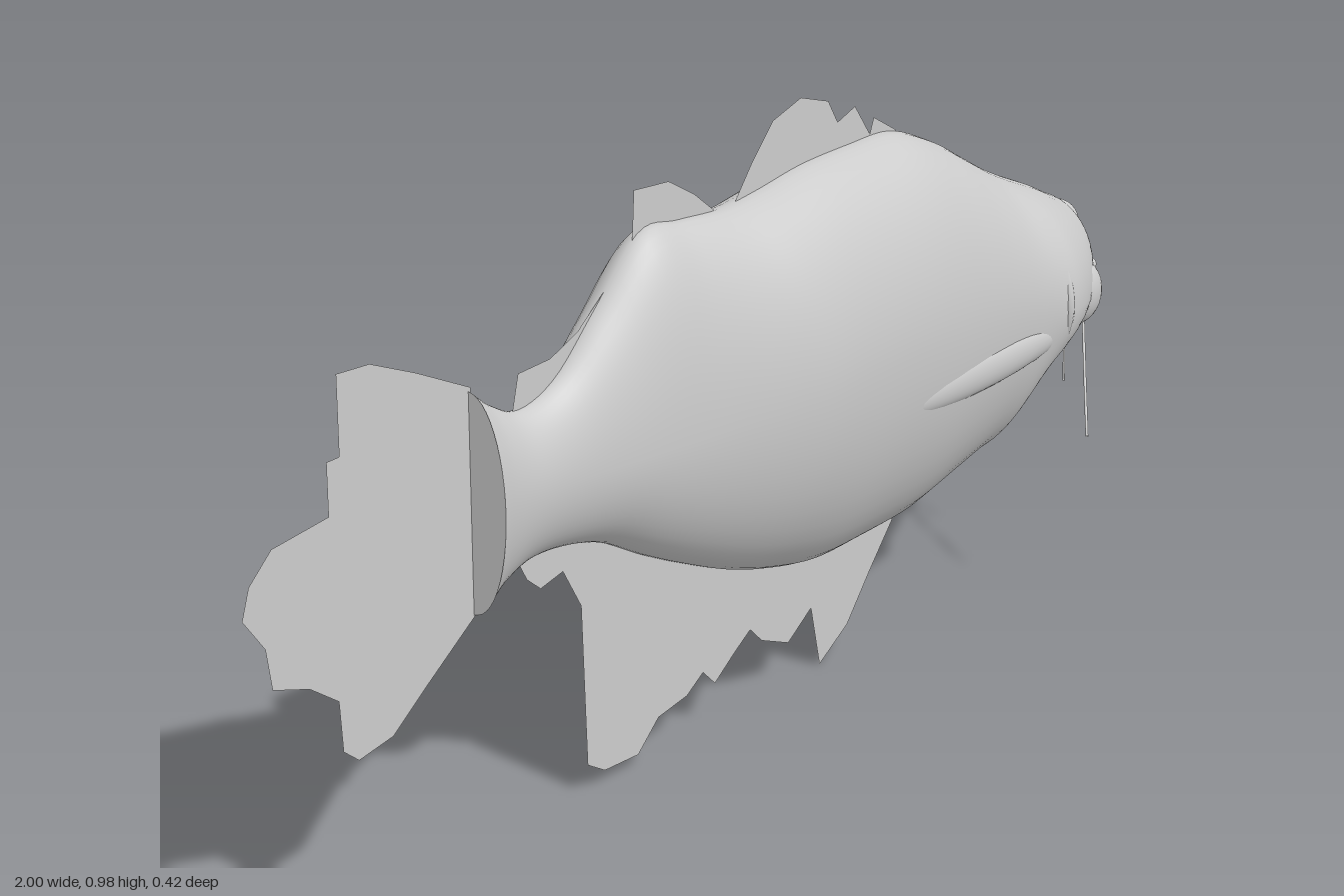
import * as THREE from 'three';

const grey = new THREE.MeshStandardMaterial({ color: 0xcccccc, side: THREE.DoubleSide });
grey.name = 'pale grey';

// Body stations from tail to snout: x, top y, bottom y, widest y, half width
const stations = [
  [-0.545, 0.745, 0.40, 0.575, 0.066],
  [-0.50, 0.71, 0.43, 0.575, 0.058],
  [-0.44, 0.685, 0.45, 0.57, 0.057],
  [-0.36, 0.71, 0.445, 0.57, 0.062],
  [-0.27, 0.79, 0.42, 0.57, 0.08],
  [-0.17, 0.88, 0.365, 0.57, 0.098],
  [-0.08, 0.875, 0.32, 0.57, 0.113],
  [0.02, 0.866, 0.275, 0.57, 0.136],
  [0.11, 0.872, 0.245, 0.575, 0.155],
  [0.22, 0.885, 0.22, 0.58, 0.16],
  [0.34, 0.887, 0.218, 0.58, 0.162],
  [0.45, 0.883, 0.222, 0.57, 0.161],
  [0.55, 0.845, 0.243, 0.56, 0.157],
  [0.63, 0.80, 0.262, 0.55, 0.154],
  [0.69, 0.765, 0.278, 0.54, 0.155],
  [0.74, 0.74, 0.355, 0.53, 0.166],
  [0.78, 0.722, 0.39, 0.53, 0.165],
  [0.83, 0.70, 0.415, 0.53, 0.148],
  [0.88, 0.675, 0.43, 0.535, 0.122],
  [0.93, 0.65, 0.445, 0.54, 0.088],
  [0.97, 0.615, 0.475, 0.545, 0.055],
  [0.99, 0.59, 0.51, 0.55, 0.03],
  [1.0, 0.56, 0.545, 0.553, 0.004],
];

function add(group, name, geometry) {
  const mesh = new THREE.Mesh(geometry, grey);
  mesh.name = name;
  group.add(mesh);
  return mesh;
}

// Smooth skin swept through the stations
function bodyGeometry(steps = 120, sides = 48) {
  const edges = new THREE.CatmullRomCurve3(stations.map(s => new THREE.Vector3(s[0], s[1], s[2])), false, 'catmullrom');
  const middle = new THREE.CatmullRomCurve3(stations.map(s => new THREE.Vector3(s[0], s[3], s[4])), false, 'catmullrom');
  const pos = [], index = [];
  for (let i = 0; i <= steps; i++) {
    const e = edges.getPoint(i / steps), m = middle.getPoint(i / steps);
    for (let j = 0; j < sides; j++) {
      const a = (j / sides) * Math.PI * 2, c = Math.cos(a), s = Math.sin(a);
      const y = m.y + c * (c > 0 ? e.y - m.y : m.y - e.z);
      pos.push(e.x, y, m.z * Math.sign(s) * Math.pow(Math.abs(s), 1.12));
      if (i < steps) {
        const k = i * sides + j, n = i * sides + (j + 1) % sides;
        index.push(k, n, k + sides, n, n + sides, k + sides);
      }
    }
  }
  const g = new THREE.BufferGeometry();
  g.setAttribute('position', new THREE.Float32BufferAttribute(pos, 3));
  g.setIndex(index);
  g.computeVertexNormals();
  return g;
}

// Flat fins in the plane z = 0
const fins = {
  tailFin: [[-0.54, 0.75], [-0.65, 0.805], [-0.74, 0.845], [-0.805, 0.85], [-0.805, 0.73], [-0.83, 0.73],
    [-0.83, 0.65], [-0.94, 0.64], [-0.985, 0.60], [-1, 0.555], [-0.96, 0.5], [-0.95, 0.435], [-0.88, 0.41],
    [-0.825, 0.37], [-0.82, 0.29], [-0.79, 0.265], [-0.72, 0.275], [-0.65, 0.325], [-0.54, 0.40]],
  frontDorsalFin: [[0.04, 0.84], [0.06, 0.87], [0.10, 0.92], [0.15, 0.972], [0.22, 0.992], [0.29, 0.97],
    [0.315, 0.93], [0.36, 0.945], [0.40, 0.89], [0.41, 0.915], [0.47, 0.88], [0.45, 0.84]],
  rearDorsalFin: [[-0.20, 0.82], [-0.185, 0.86], [-0.18, 0.947], [-0.10, 0.94], [-0.04, 0.905], [0.01, 0.865], [0, 0.82]],
  smallBackFin: [[-0.46, 0.66], [-0.44, 0.74], [-0.37, 0.742], [-0.31, 0.765], [-0.25, 0.81], [-0.24, 0.74], [-0.34, 0.66]],
  analFin: [[-0.46, 0.47], [-0.43, 0.415], [-0.40, 0.39], [-0.35, 0.40], [-0.31, 0.33], [-0.30, 0.06],
    [-0.26, 0.035], [-0.18, 0.03], [-0.13, 0.075], [-0.06, 0.085], [-0.02, 0.11], [0.01, 0.08], [0.06, 0.115],
    [0.10, 0.14], [0.13, 0.11], [0.20, 0.08], [0.26, 0.12], [0.285, 0.01], [0.36, 0.055], [0.42, 0.13],
    [0.48, 0.20], [0.50, 0.25], [0.20, 0.30], [-0.05, 0.36], [-0.30, 0.48]],
};

function tube(points, radius) {
  const curve = new THREE.CatmullRomCurve3(points.map(p => new THREE.Vector3(...p)));
  return new THREE.TubeGeometry(curve, 24, radius, 8);
}

function ellipsoid(center, radii) {
  return new THREE.SphereGeometry(1, 24, 16).scale(...radii).translate(...center);
}

export function createModel() {
  const fish = new THREE.Group();
  fish.name = 'fish';

  add(fish, 'body', bodyGeometry());
  const cap = new THREE.CircleGeometry(1, 48).rotateY(-Math.PI / 2).scale(1, 0.172, 0.066);
  add(fish, 'tailRootCap', cap.translate(-0.545, 0.573, 0));

  for (const [name, points] of Object.entries(fins)) {
    const shape = new THREE.Shape(points.map(p => new THREE.Vector2(...p)));
    add(fish, name, new THREE.ShapeGeometry(shape));
  }

  // Snout and lips
  add(fish, 'snoutBump', ellipsoid([0.945, 0.6, 0], [0.038, 0.04, 0.04]));
  add(fish, 'upperLip', tube([[0.915, 0.51, -0.075], [0.965, 0.525, -0.04], [0.985, 0.535, 0], [0.965, 0.525, 0.04], [0.915, 0.51, 0.075]], 0.012));
  add(fish, 'lowerLip', tube([[0.90, 0.50, -0.075], [0.95, 0.475, -0.04], [0.97, 0.465, 0], [0.95, 0.475, 0.04], [0.90, 0.50, 0.075]], 0.014));

  // Paired parts on both flanks
  for (const side of [1, -1]) {
    const label = side > 0 ? 'near' : 'far';
    add(fish, label + 'Eye', ellipsoid([0.93, 0.545, side * 0.078], [0.014, 0.012, 0.014]));
    add(fish, label + 'Cheek', ellipsoid([0.86, 0.52, side * 0.105], [0.05, 0.055, 0.035]));
    add(fish, label + 'FoldedFin', ellipsoid([0.52, 0.49, side * 0.142], [0.25, 0.035, 0.02]).translate(0, 0, 0));
    add(fish, label + 'GillEdge', tube([[0.765, 0.67, side * 0.088], [0.75, 0.6, side * 0.145], [0.745, 0.53, side * 0.162],
      [0.755, 0.46, side * 0.135], [0.78, 0.41, side * 0.06]], 0.009));
    // Whiskers
    add(fish, label + 'LongWhisker', tube([[0.87, 0.48, side * 0.11], [0.80, 0.40, side * 0.163], [0.74, 0.322, side * 0.21]], 0.0025));
    add(fish, label + 'ShortWhisker', tube([[0.92, 0.46, side * 0.04], [0.90, 0.41, side * 0.055], [0.88, 0.345, side * 0.07]], 0.002));
  }
  return fish;
}
